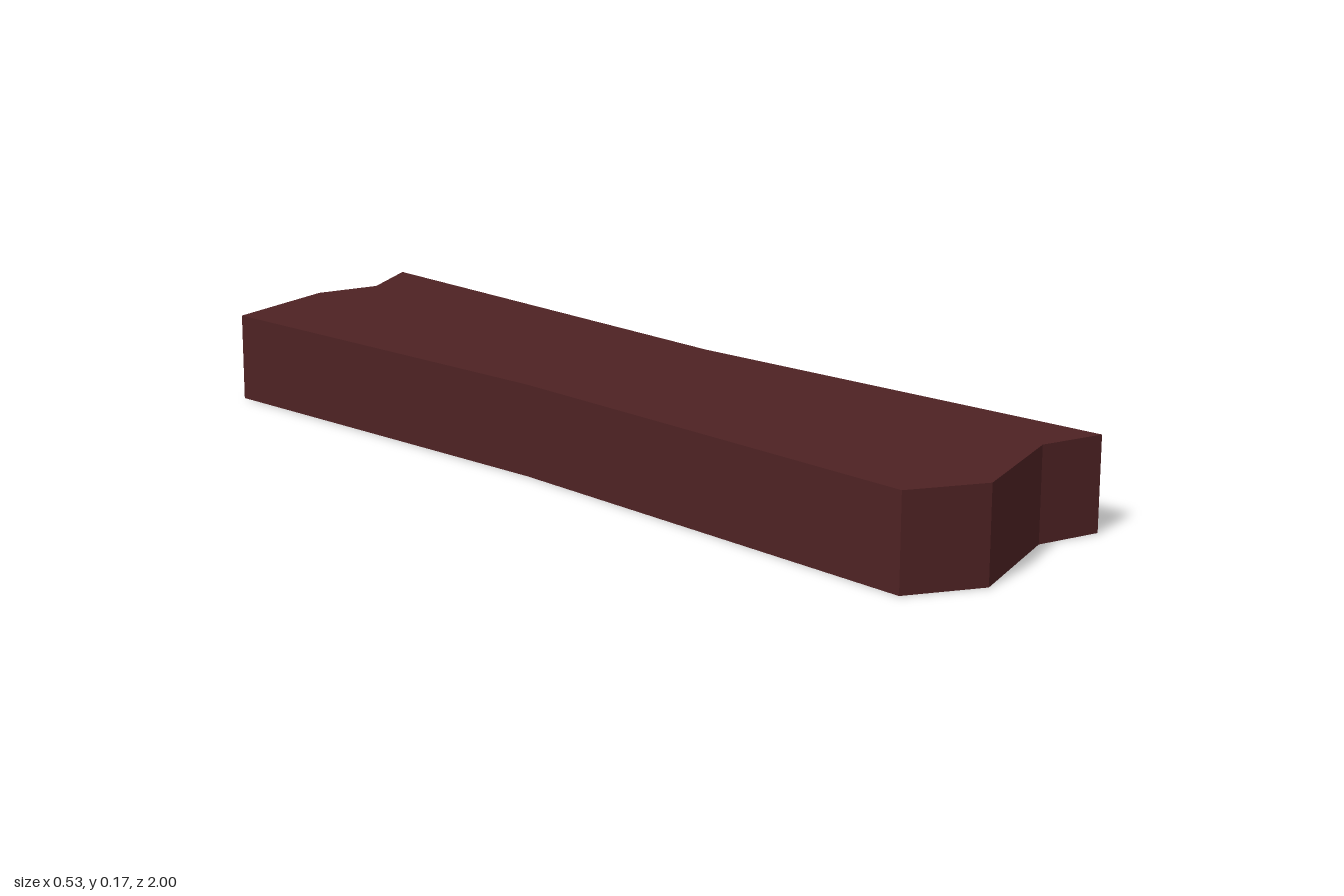
import * as THREE from 'three';

const HEIGHT = 0.173;

// Plank outline seen from above, as [x, z]
const OUTLINE = [
  [-0.264, -0.85], [-0.01, -0.934], [0.125, -0.913], [0.263, -1], // splintered back end
  [0.219, 0.01],                                                  // narrow waist, left side
  [0.263, 0.927], [0.136, 0.903], [-0.107, 1], [-0.246, 0.934],   // splintered front end
  [-0.223, 0],                                                    // narrow waist, right side
];

export function createModel() {
  const group = new THREE.Group();
  group.name = 'brokenPlank';

  const darkWood = new THREE.MeshStandardMaterial({ color: 0x4e2223 });
  darkWood.name = 'dark reddish wood';

  // Extrude the outline upwards from the ground
  const shape = new THREE.Shape(OUTLINE.map(([x, z]) => new THREE.Vector2(x, -z)));
  const geometry = new THREE.ExtrudeGeometry(shape, { depth: HEIGHT, bevelEnabled: false });
  geometry.rotateX(-Math.PI / 2);

  const plank = new THREE.Mesh(geometry, darkWood);
  plank.name = 'plank';
  group.add(plank);
  return group;
}
